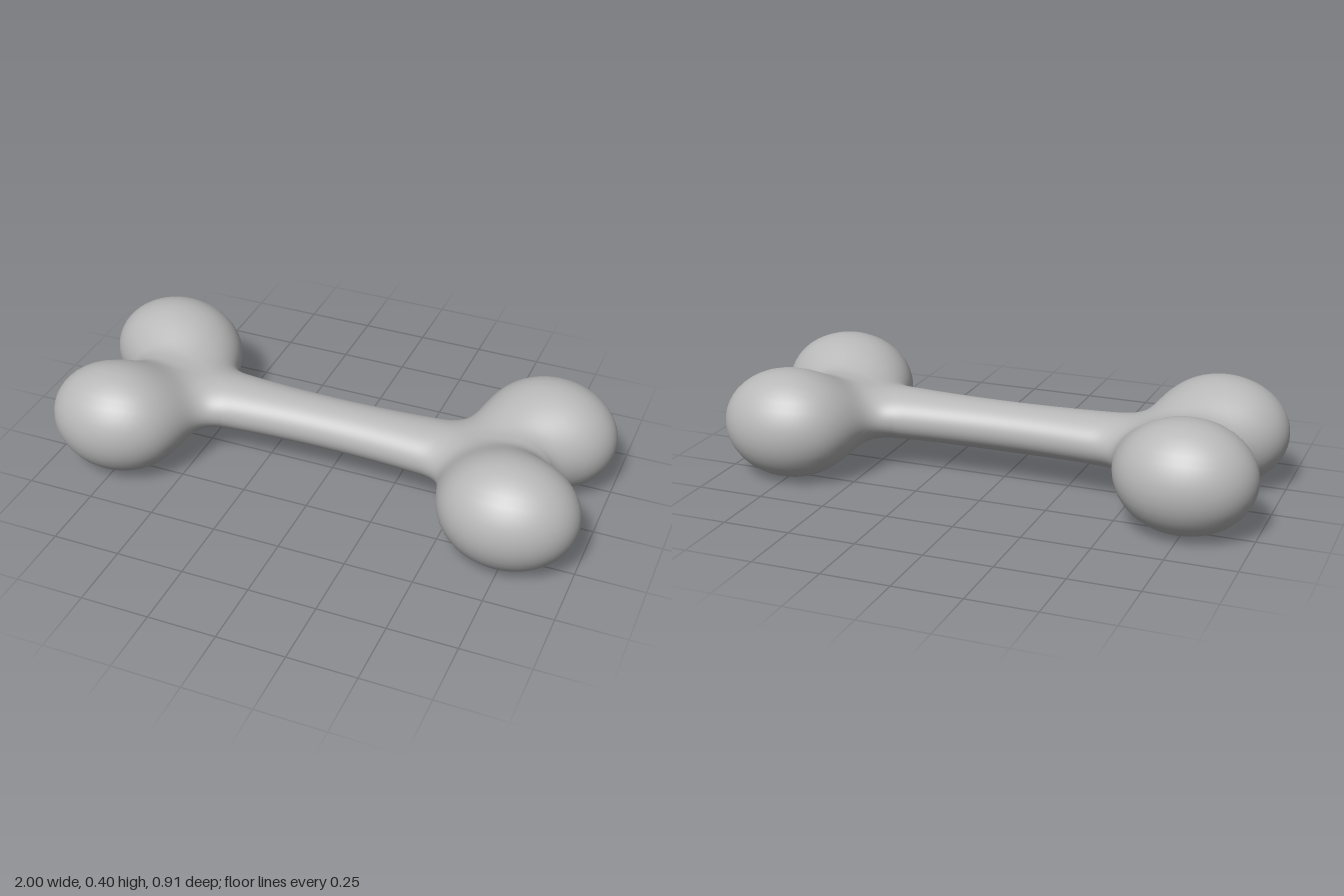
import * as THREE from 'three';
import { mergeVertices } from 'three/addons/utils/BufferGeometryUtils.js';

const MID_Y = 0.203;   // height of the bone's axis
const HUB_X = 0.62;    // where shaft and knobs meet
const FAN = Math.PI / 3;

// Smooth union of two distances
function blend(a, b, k) {
  const h = Math.max(k - Math.abs(a - b), 0);
  return Math.min(a, b) - (h * h) / (4 * k);
}

// Rounded knob, slightly longer in x
function knob(x, y, z) {
  return (Math.hypot((x - 0.75) / 0.25, y / 0.202, (z - 0.25) / 0.205) - 1) * 0.203;
}

// Oval shaft that flares towards its rounded end
function shaft(x, y, z) {
  const f = Math.min(x / 0.6, 1) ** 2;
  const ry = 0.088 + 0.014 * f;
  const rz = 0.108 + 0.045 * f;
  const cap = Math.max(x - 0.68, 0) / 0.1;
  return (Math.hypot(cap, y / ry, z / rz) - 1) * ry;
}

// Whole bone, mirrored in x and z; negative inside
function field(x, y, z) {
  x = Math.abs(x);
  const near = blend(shaft(x, y, z), knob(x, y, Math.abs(z)), 0.14);
  return blend(near, knob(x, y, -Math.abs(z)), 0.14);
}

// Distance from an inside point to the surface along a direction
function reach(ox, dx, dy, dz) {
  let lo = 0, hi = 0.7;
  for (let n = 0; n < 30; n++) {
    const m = (lo + hi) / 2;
    if (field(ox + dx * m, dy * m, dz * m) < 0) lo = m;
    else hi = m;
  }
  return lo;
}

function boneGeometry(shaftRings = 24, fanRings = 56, sides = 80) {
  const total = shaftRings + fanRings;
  const positions = [], index = [];
  for (let i = -total; i <= total; i++) {
    const side = i < 0 ? -1 : 1;
    const n = Math.abs(i);
    // Rings run along the shaft, then fan out around the hub to the tip
    const s = Math.min(n / shaftRings, 1);
    const t = Math.max(n - shaftRings, 0) / fanRings;
    const ox = side * HUB_X * s;
    const angle = n === total ? 0 : (Math.PI / 2 + FAN * s) * (1 - t);
    const dx = side * Math.cos(angle), r = Math.sin(angle);
    for (let j = 0; j < sides; j++) {
      const a = (j / sides) * Math.PI * 2;
      const dy = r * Math.cos(a), dz = r * Math.sin(a);
      const d = reach(ox, dx, dy, dz);
      positions.push(ox + dx * d, MID_Y + dy * d, dz * d);
    }
  }
  for (let i = 0; i < total * 2; i++) {
    for (let j = 0; j < sides; j++) {
      const k = (j + 1) % sides;
      const a = i * sides + j, c = i * sides + k;
      const b = a + sides, d = c + sides;
      if (i > 0) index.push(a, c, b);
      if (i < total * 2 - 1) index.push(c, d, b);
      else if (i === 0) index.push(c, d, b);
    }
  }
  const geometry = new THREE.BufferGeometry();
  geometry.setAttribute('position', new THREE.Float32BufferAttribute(positions, 3));
  geometry.setIndex(index);
  const merged = mergeVertices(geometry, 1e-5);
  merged.computeVertexNormals();
  return merged;
}

export function createModel() {
  const group = new THREE.Group();
  group.name = 'bone';
  const grey = new THREE.MeshStandardMaterial({ color: 0xb8b8b8 });
  grey.name = 'bone grey';
  const body = new THREE.Mesh(boneGeometry(), grey);
  body.name = 'boneBody';
  group.add(body);
  return group;
}
